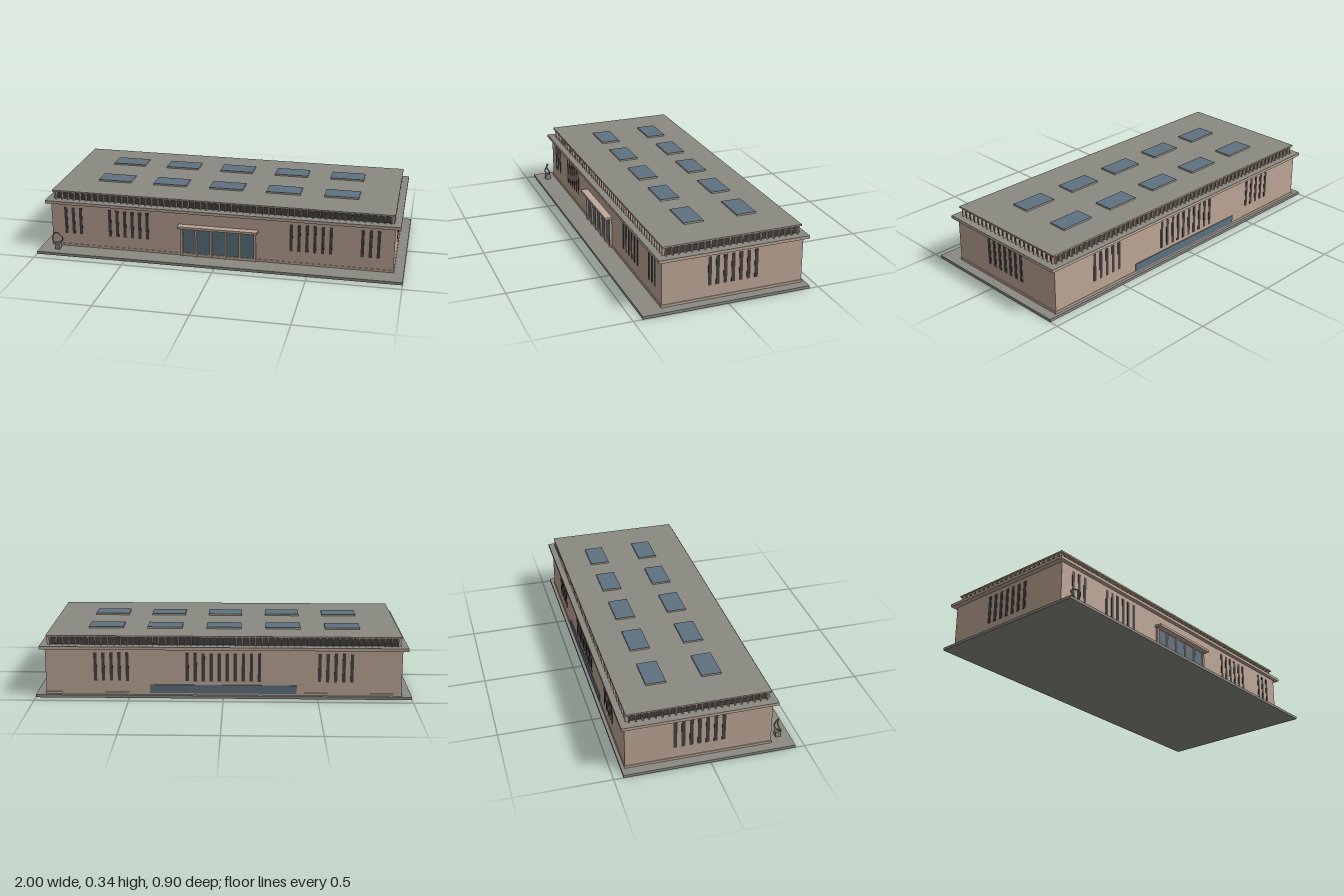
import * as THREE from 'three';

const mat = (name, color) => {
  const m = new THREE.MeshStandardMaterial({ color });
  m.name = name;
  return m;
};

export function createModel() {
  const wall = mat('tan stone', 0xbea797);
  const grey = mat('grey paving and roofing', 0x8a8a83);
  const dark = mat('dark glazing', 0x444140);
  const glass = mat('blue glass', 0x5f7280);

  const model = new THREE.Group();
  model.name = 'pavilion';

  // Box given by its limits along each axis
  const box = (name, material, x0, x1, y0, y1, z0, z1, parent = model) => {
    const mesh = new THREE.Mesh(new THREE.BoxGeometry(x1 - x0, y1 - y0, z1 - z0), material);
    mesh.position.set((x0 + x1) / 2, (y0 + y1) / 2, (z0 + z1) / 2);
    mesh.name = name;
    parent.add(mesh);
    return mesh;
  };
  const group = (name) => {
    const g = new THREE.Group();
    g.name = name;
    model.add(g);
    return g;
  };

  const W = 0.945, F = 0.335, B = -0.43;

  // Ground slab, plinth and main walls
  box('baseSlab', grey, -1, 1, 0, 0.015, -0.45, 0.45);
  box('plinth', wall, -W - 0.004, W + 0.004, 0.015, 0.028, B - 0.003, F + 0.003);
  box('mainWalls', wall, -W, W, 0.015, 0.266, B, F);

  // Cornice with a grey deck on top
  box('cornice', wall, -0.973, 0.973, 0.266, 0.28, -0.45, 0.357);
  box('corniceDeck', grey, -0.973, 0.973, 0.28, 0.282, -0.45, 0.357);

  // Clerestory: dark glazed band behind rows of fins
  const cx = 0.92, cf = 0.306, cb = -0.402, proud = 0.017;
  box('clerestoryGlazing', dark, -cx, cx, 0.282, 0.327, cb, cf);
  const fins = group('clerestoryFins');
  const nx = 54, nz = 21, half = 0.003;
  for (let i = 0; i <= nx; i++) {
    const x = -cx + (2 * cx * i) / nx;
    box('fin', wall, x - half, x + half, 0.282, 0.327, cf, cf + proud, fins);
    box('fin', wall, x - half, x + half, 0.282, 0.327, cb - proud, cb, fins);
  }
  for (let i = 0; i <= nz; i++) {
    const z = cb + ((cf - cb) * i) / nz;
    box('fin', wall, cx, cx + proud, 0.282, 0.327, z - half, z + half, fins);
    box('fin', wall, -cx - proud, -cx, 0.282, 0.327, z - half, z + half, fins);
  }

  // Roof slab with grey covering
  box('roofSlab', wall, -0.94, 0.94, 0.327, 0.333, -0.42, 0.327);
  box('roofCovering', grey, -0.94, 0.94, 0.333, 0.335, -0.42, 0.327);

  // Two rows of skylights
  const skylights = group('skylights');
  for (const z of [-0.213, 0.079]) {
    for (let i = -2; i <= 2; i++) {
      const x = i * 0.319;
      box('skylightCurb', wall, x - 0.094, x + 0.094, 0.335, 0.342, z - 0.053, z + 0.053, skylights);
      box('skylightGlass', glass, x - 0.094, x + 0.094, 0.342, 0.344, z - 0.053, z + 0.053, skylights);
    }
  }

  // Slit windows as thin plates
  const slits = group('slitWindows');
  const t = 0.002, y0 = 0.09, y1 = 0.245, pitch = 0.0425;
  const row = (start, count, z) => {
    for (let i = 0; i < count; i++) {
      const x = start + i * pitch;
      box('slitWindow', dark, x - 0.0085, x + 0.0085, y0, y1, z - t, z + t, slits);
    }
  };
  row(-0.862, 3, F);
  row(-0.61, 6, F);
  row(0.3975, 6, F);
  row(0.777, 3, F);
  row(-0.68, 5, B);
  row(-0.191, 10, B);
  row(0.51, 5, B);
  for (const s of [-1, 1]) {
    for (let i = 0; i < 7; i++) {
      const z = 0.08 - i * 0.042;
      box('slitWindow', dark, s * W - t, s * W + t, y0, y1, z - 0.0095, z + 0.0095, slits);
    }
  }

  // Low glazed strip at the back
  box('rearGlassStrip', glass, -0.39, 0.39, 0.024, 0.07, B - 0.005, B + 0.002);

  // Entrance: glass, columns, threshold and canopy
  const entrance = group('entrance');
  box('entranceGlass', glass, -0.2, 0.2, 0.028, 0.183, F, F + 0.004, entrance);
  box('threshold', wall, -0.205, 0.205, 0.015, 0.03, F, F + 0.008, entrance);
  for (let i = 0; i < 6; i++) {
    const x = -0.2025 + i * 0.081;
    box('entranceColumn', wall, x - 0.006, x + 0.006, 0.015, 0.183, F, 0.348, entrance);
  }
  box('canopy', wall, -0.218, 0.218, 0.183, 0.196, F, 0.375, entrance);

  // Twisted ring sculpture on a pedestal
  const sculpture = group('sculpture');
  box('pedestal', grey, -0.913, -0.885, 0.015, 0.047, 0.374, 0.402, sculpture);
  const points = [];
  for (let i = 0; i < 32; i++) {
    const a = (i / 32) * Math.PI * 2;
    points.push(new THREE.Vector3(0.029 * Math.cos(a), 0.029 * Math.sin(a), 0.009 * Math.sin(2 * a)));
  }
  const path = new THREE.CatmullRomCurve3(points, true);
  const ring = new THREE.Mesh(new THREE.TubeGeometry(path, 64, 0.004, 8, true), grey);
  ring.name = 'twistedRing';
  ring.position.set(-0.899, 0.08, 0.388);
  sculpture.add(ring);

  return model;
}
